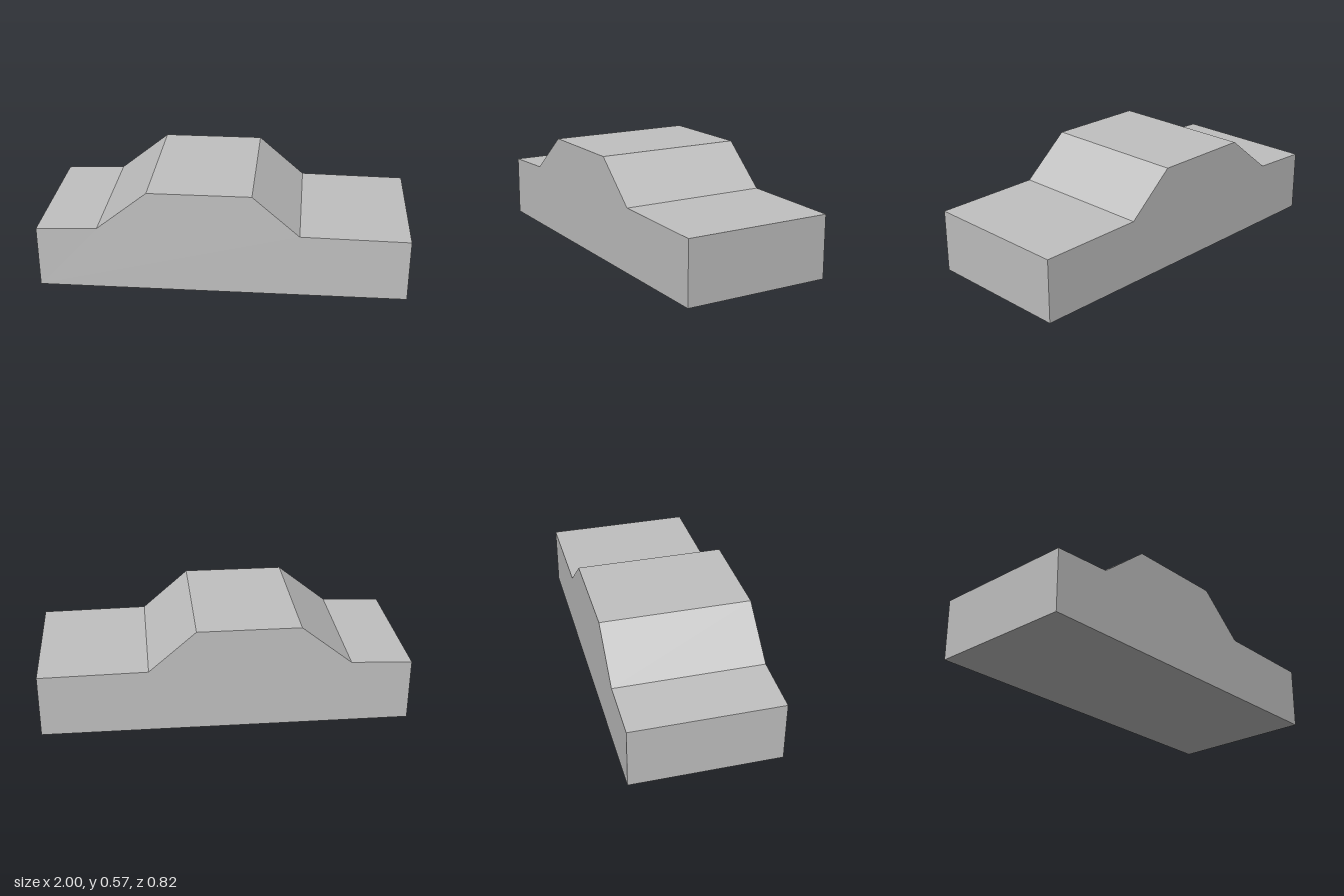
import * as THREE from 'three';

const DEPTH = 0.82;

// Side outline of the car, counter-clockwise from the lower corner at -x
const OUTLINE = [
  [-1, 0], [1, 0],
  [1, 0.345], [0.415, 0.353],     // long deck
  [0.16, 0.575], [-0.395, 0.575], // roof between the two sloped screens
  [-0.67, 0.356], [-1, 0.342],    // short deck
];

export function createModel() {
  const model = new THREE.Group();
  model.name = 'blockCar';

  const bodyGrey = new THREE.MeshStandardMaterial({ color: 0xc0c0c0 });
  bodyGrey.name = 'body grey';

  // Solid body: the outline extruded across the full width
  const shape = new THREE.Shape(OUTLINE.map(([x, y]) => new THREE.Vector2(x, y)));
  const geometry = new THREE.ExtrudeGeometry(shape, { depth: DEPTH, bevelEnabled: false });
  geometry.translate(0, 0, -DEPTH / 2);

  const body = new THREE.Mesh(geometry, bodyGrey);
  body.name = 'carBody';
  model.add(body);
  return model;
}
